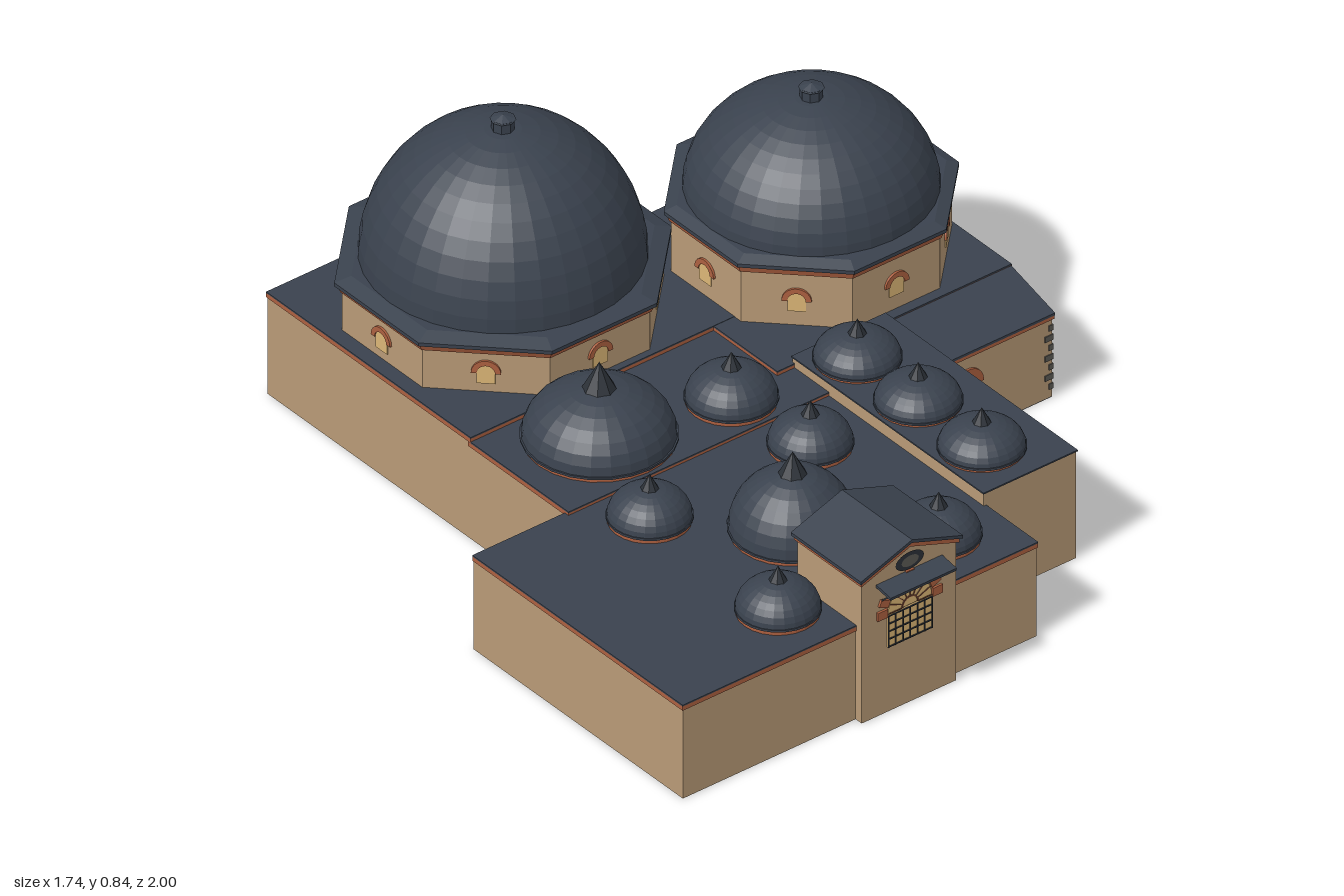
import * as THREE from 'three';

const mat = (name, color, flat = true) => {
  const m = new THREE.MeshStandardMaterial({ color, flatShading: flat });
  m.name = name;
  return m;
};

export function createModel() {
  const root = new THREE.Group();
  root.name = 'domedBathhouse';
  const wall = mat('sandstone', 0xb89a76);
  const slate = mat('leadRoof', 0x3a424e);
  const brick = mat('terracotta', 0xad6040);
  const cream = mat('paleGlass', 0xdcb676);
  const wood = mat('brownDoor', 0x6f4230);
  const iron = mat('darkIron', 0x2c3138);
  const grey = mat('greyPane', 0x5c5a55);

  const add = (name, geo, material, parent = root) => {
    const m = new THREE.Mesh(geo, material);
    m.name = name;
    parent.add(m);
    return m;
  };
  // box given by its extents
  const box = (name, x0, x1, y0, y1, z0, z1, material, parent = root) => {
    const m = add(name, new THREE.BoxGeometry(x1 - x0, y1 - y0, z1 - z0), material, parent);
    m.position.set((x0 + x1) / 2, (y0 + y1) / 2, (z0 + z1) / 2);
    return m;
  };
  const polygon = (pts) => new THREE.Shape(pts.map(([x, y]) => new THREE.Vector2(x, y)));
  const extrude = (shape, depth) =>
    new THREE.ExtrudeGeometry(shape, { depth, bevelEnabled: false, curveSegments: 12 });

  // Flat-roofed wings: sandstone sides, lead top and underside, brick cornice
  const wing = (name, x0, x1, z0, z1, h, cornice = true) => {
    box(name, x0, x1, 0, h - 0.005, z0, z1, [wall, wall, slate, slate, wall, wall]);
    const o = 0.003;
    if (cornice) box(name + 'Cornice', x0 - o, x1 + o, h - 0.016, h - 0.004, z0 - o * 0.5, z1 + o, brick);
    box(name + 'Roof', x0 - o, x1 + o, h - 0.004, h, z0 - o * 0.5, z1 + o, slate);
  };
  wing('mainHall', -0.587, 0.217, -0.998, -0.23, 0.295);
  wing('sideHall', 0.15, 0.855, -0.685, 0.01, 0.294);
  wing('middleRooms', -0.587, 0.2, -0.235, 0.14, 0.282);
  wing('entranceHall', -0.867, 0.205, 0.13, 0.92, 0.272);
  wing('rightRooms', 0.2, 0.48, 0.005, 0.727, 0.312, false);

  // Lean-to: side profile in (z, y), extruded across x
  const acrossX = (pts, x0, x1) => extrude(polygon(pts), x1 - x0).rotateY(-Math.PI / 2).translate(x1, 0, 0);
  add('leanTo', acrossX([[0, 0], [0.172, 0], [0.172, 0.232], [0, 0.28]], 0.475, 0.852), wall);
  add('leanToRoof', acrossX([[0, 0.284], [0.178, 0.236], [0.178, 0.243], [0, 0.293]], 0.475, 0.857), slate);
  box('leanToCornice', 0.48, 0.856, 0.226, 0.237, 0.165, 0.177, brick);
  box('leanToFloor', 0.475, 0.852, 0, 0.002, 0, 0.172, slate);
  // weathered stones at the outer corner
  for (let i = 0; i < 7; i++) {
    const w = 0.012 + 0.012 * (i % 2);
    box('cornerStone', 0.854 - w, 0.855, 0.025 + i * 0.028, 0.041 + i * 0.028, 0.174 - w, 0.1745, grey);
  }

  // Dome profile: elliptical arc from rim to crown
  const domeGeo = (r, h, segs, rings) => {
    const pts = [];
    for (let i = 0; i <= rings; i++) {
      const a = (i / rings) * Math.PI / 2;
      pts.push(new THREE.Vector2(i === rings ? 0 : r * Math.cos(a), h * Math.sin(a)));
    }
    return new THREE.LatheGeometry(pts, segs);
  };

  // Small domes with a low brick ring and a pointed finial
  const smallDome = (x, z, r, base, h) => {
    const g = new THREE.Group();
    g.name = 'smallDome';
    g.position.set(x, base, z);
    add('ring', new THREE.CylinderGeometry(r * 0.97, r * 0.97, 0.016, 24), brick, g).position.y = 0.004;
    add('rim', new THREE.CylinderGeometry(r, r, 0.006, 24), slate, g).position.y = 0.013;
    add('shell', domeGeo(r * 0.98, h, 24, 8), slate, g).position.y = 0.014;
    const s = r * 0.24;
    add('finial', new THREE.ConeGeometry(s, s * 1.8, 8), iron, g).position.y = 0.012 + h + s * 0.7;
    root.add(g);
  };
  for (const z of [0.275, 0.76]) for (const x of [-0.45, 0.037]) smallDome(x, z, 0.105, 0.272, 0.078);
  for (const z of [0.11, 0.34, 0.58]) smallDome(0.312, z, 0.108, 0.308, 0.066);
  smallDome(0, 0.023, 0.114, 0.282, 0.083);
  smallDome(-0.213, 0.52, 0.157, 0.272, 0.153);
  smallDome(-0.342, -0.05, 0.19, 0.282, 0.135);

  // Arched opening facing +z, springing at local y = 0
  const archShape = (r, drop) => {
    const s = new THREE.Shape();
    s.moveTo(-r, -drop);
    s.lineTo(r, -drop);
    s.lineTo(r, 0);
    s.absarc(0, 0, r, 0, Math.PI, false);
    return s;
  };
  const archBand = (r0, r1) => {
    const s = new THREE.Shape();
    s.absarc(0, 0, r1, 0, Math.PI, false);
    s.absarc(0, 0, r0, Math.PI, 0, true);
    return s;
  };
  const opening = (name, x, y, z, turn, { r, band, drop, pane = cream, mullion = false }, parent = root) => {
    const g = new THREE.Group();
    g.name = name;
    g.position.set(x, y, z);
    g.rotation.y = turn;
    add('pane', extrude(archShape(r, drop), 0.003), pane, g);
    add('brickArch', extrude(archBand(r, r + band), 0.006), brick, g);
    if (mullion) box('mullion', -0.004, 0.004, -drop, r, 0.003, 0.006, wood, g);
    parent.add(g);
    return g;
  };

  // Great domes on octagonal drums with a window in every face
  const octagon = (apothem, h, top = apothem) =>
    new THREE.CylinderGeometry(top / Math.cos(Math.PI / 8), apothem / Math.cos(Math.PI / 8), h, 8).rotateY(Math.PI / 8);
  const greatDome = (name, x, z, y0, y1, apothem, eave, r, h) => {
    const g = new THREE.Group();
    g.name = name;
    g.position.set(x, 0, z);
    add('drum', octagon(apothem, y1 - y0), wall, g).position.y = (y0 + y1) / 2;
    add('drumCornice', octagon(apothem + 0.004, 0.02, eave - 0.006), brick, g).position.y = y1 - 0.01;
    add('eave', octagon(eave, 0.01), slate, g).position.y = y1 + 0.005;
    add('eaveSlope', octagon(eave, 0.012, r), slate, g).position.y = y1 + 0.016;
    add('shell', domeGeo(r, h, 32, 12), slate, g).position.y = y1 + 0.012;
    add('knob', new THREE.CylinderGeometry(0.028, 0.028, 0.04, 8), slate, g).position.y = y1 + h + 0.02;
    add('knobCap', new THREE.ConeGeometry(0.032, 0.012, 8), slate, g).position.y = y1 + h + 0.044;
    for (let i = 0; i < 8; i++) {
      const a = i * Math.PI / 4;
      opening('drumWindow', Math.sin(a) * apothem, y0 + (y1 - y0) * 0.44, Math.cos(a) * apothem, a,
        { r: 0.022, band: 0.014, drop: 0.03 }, g);
    }
    root.add(g);
  };
  greatDome('mainDome', -0.183, -0.612, 0.29, 0.425, 0.366, 0.384, 0.345, 0.365);
  greatDome('sideDome', 0.53, -0.335, 0.29, 0.46, 0.32, 0.336, 0.307, 0.26);

  // Wall windows and doors
  const tall = { r: 0.034, band: 0.017, drop: 0.085, mullion: true };
  for (const z of [-0.245, -0.442]) opening('sideWindow', 0.855, 0.162, z, Math.PI / 2, tall);
  for (const x of [0.4, 0.62]) opening('backWindow', x, 0.162, -0.685, Math.PI, { ...tall, pane: grey });
  box('frontDoor', 0.562, 0.63, 0, 0.128, 0.172, 0.177, wood);
  add('frontDoorArch', extrude(archShape(0.045, 0.003), 0.006), brick).position.set(0.596, 0.147, 0.172);
  opening('backDoorArch', -0.183, 0.142, -0.996, Math.PI, { r: 0.05, band: 0.02, drop: 0, pane: grey });
  box('backDoor', -0.233, -0.133, 0.002, 0.138, -1, -0.99, cream);
  for (const x of [-0.248, -0.118]) box('backDoorPost', x - 0.012, x + 0.012, 0.13, 0.145, -1, -0.99, brick);
  add('backOculusRim', new THREE.TorusGeometry(0.024, 0.007, 6, 16), brick).position.set(-0.183, 0.238, -0.994);
  const oculus = add('backOculus', new THREE.CircleGeometry(0.022, 16), grey);
  oculus.position.set(-0.183, 0.238, -0.9995);
  oculus.rotation.y = Math.PI;

  // Entrance porch with gabled roof
  const porch = new THREE.Group();
  porch.name = 'entrancePorch';
  porch.position.x = -0.2;
  root.add(porch);
  const alongZ = (name, pts, z0, z1, material) =>
    add(name, extrude(polygon(pts), z1 - z0), material, porch).position.setZ(z0);
  const chevron = (w, y, rise, t) => [[-w, y], [0, y + rise], [w, y], [w, y + t], [0, y + rise + t], [-w, y + t]].reverse();
  alongZ('porchWalls', [[-0.143, 0], [0.143, 0], [0.143, 0.412], [0, 0.463], [-0.143, 0.412]], 0.7, 0.943, wall);
  alongZ('gableCornice', chevron(0.149, 0.398, 0.053, 0.012), 0.694, 0.949, brick);
  alongZ('porchRoof', chevron(0.155, 0.41, 0.055, 0.009), 0.69, 0.955, slate);
  const front = new THREE.Group();
  front.name = 'porchFront';
  front.position.z = 0.943;
  porch.add(front);
  // oval light in the gable
  const oval = (name, s, z, material) => {
    const m = add(name, new THREE.CircleGeometry(s, 20), material, front);
    m.scale.y = 0.58;
    m.position.set(0, 0.41, z);
  };
  oval('ovalFrame', 0.043, 0.003, iron);
  oval('ovalPane', 0.026, 0.005, grey);
  // fanlight with radiating bars and brick voussoirs
  add('fanlight', extrude(archShape(0.066, 0), 0.004), cream, front).position.y = 0.284;
  for (let i = 0; i <= 8; i++) {
    const a = i * Math.PI / 8;
    const ray = box('fanBar', 0.025, 0.066, -0.0012, 0.0012, 0.004, 0.006, wood, front);
    ray.position.set(Math.cos(a) * 0.046, 0.284 + Math.sin(a) * 0.046, 0.005);
    ray.rotation.z = a;
    const stone = box('voussoir', 0, 0.03, 0, i % 2 ? 0.02 : 0.024, 0, 0.006, brick, front);
    stone.position.set(Math.cos(a) * 0.083, 0.288 + Math.sin(a) * 0.08, 0.003);
    stone.rotation.z = a;
  }
  add('fanHub', extrude(archBand(0.022, 0.026), 0.006), wood, front).position.y = 0.284;
  // barred window below
  box('barredWindow', -0.067, 0.067, 0.188, 0.28, 0, 0.004, cream, front);
  for (let i = 0; i <= 6; i++) {
    const x = -0.066 + i * 0.022;
    box('uprightBar', x - 0.0013, x + 0.0013, 0.188, 0.28, 0.004, 0.007, iron, front);
  }
  for (let i = 0; i <= 4; i++) {
    const y = 0.19 + i * 0.022;
    box('crossBar', -0.067, 0.067, y - 0.0013, y + 0.0013, 0.004, 0.007, iron, front);
  }
  // canopy on slender brackets
  const canopy = box('canopy', -0.1, 0.1, 0.369, 0.377, 0.943, 0.999, slate, porch);
  canopy.rotation.x = 0.15;
  for (const x of [-0.085, 0.085]) {
    const brace = box('canopyBracket', x - 0.002, x + 0.002, 0, 0.004, 0, 0.062, iron, porch);
    brace.position.set(x, 0.348, 0.965);
    brace.rotation.x = -0.75;
  }
  return root;
}
